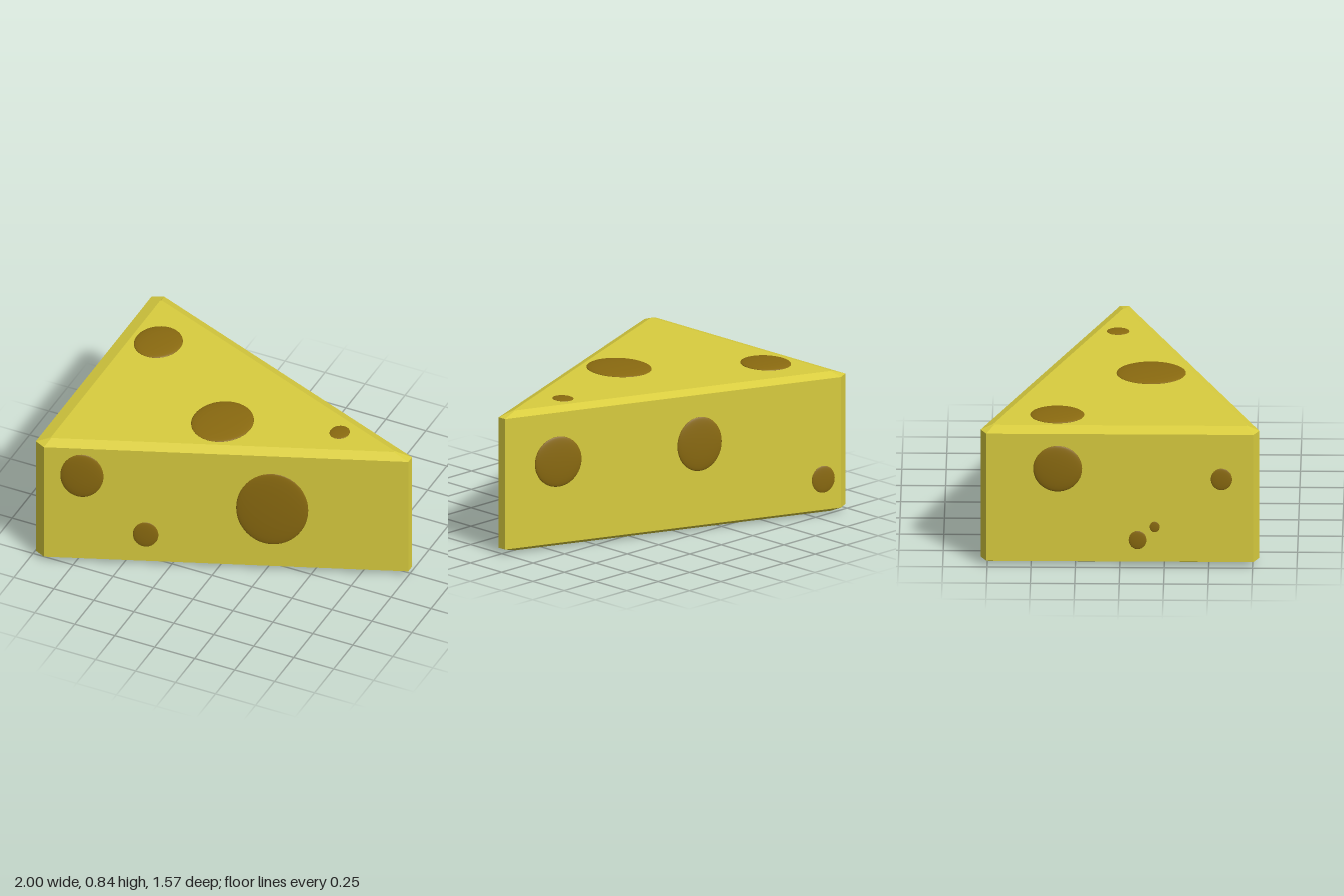
import * as THREE from 'three';

// Horizontal outline of the wedge, one [x, z] half mirrored across z = 0
const ring = (half, y) => [
  ...half.map(([x, z]) => [x, y, z]),
  ...half.map(([x, z]) => [x, y, -z]).reverse(),
];

// Flat-faced solid lofted through stacked rings, capped at both ends
function loft(rings) {
  const n = rings[0].length, index = [];
  for (let r = 0; r < rings.length - 1; r++) {
    for (let i = 0; i < n; i++) {
      const a = r * n + i, b = r * n + (i + 1) % n;
      index.push(a, b, b + n, a, b + n, a + n);
    }
  }
  const top = (rings.length - 1) * n;
  for (let i = 1; i < n - 1; i++) {
    index.push(0, i + 1, i);
    index.push(top, top + i, top + i + 1);
  }
  const g = new THREE.BufferGeometry();
  g.setAttribute('position', new THREE.Float32BufferAttribute(rings.flat(2), 3));
  g.setIndex(index);
  const flat = g.toNonIndexed();
  flat.computeVertexNormals();
  return flat;
}

export function createModel() {
  const group = new THREE.Group();
  const cheese = new THREE.MeshStandardMaterial({ color: 0xd9cd3f, flatShading: true });
  const dark = new THREE.MeshStandardMaterial({ color: 0x8a6a10 });

  // Wedge body with bevelled top and bottom edges
  const outer = [[-0.98, 0.755], [-0.915, 0.787], [1, 0.025]];
  const inner = [[-0.905, 0.712], [-0.9, 0.72], [0.9, 0.005]];
  const body = new THREE.Mesh(loft([
    ring(inner, 0), ring(outer, 0.03), ring(outer, 0.8), ring(inner, 0.825),
  ]), cheese);
  body.name = 'cheeseWedge';
  group.add(body);

  // Holes: shallow dark domes lying on each face
  const dome = new THREE.SphereGeometry(1, 40, 24);
  const addHole = (name, x, y, z, ru, rv, yaw, pitch = 0) => {
    const hole = new THREE.Mesh(dome, dark);
    hole.name = name;
    hole.position.set(x, y, z);
    hole.scale.set(ru, rv, Math.min(0.016, ru * 0.12));
    hole.rotation.set(pitch, yaw, 0);
    group.add(hole);
  };

  // Top holes: x, z, radius in x, radius in z
  [[-0.745, -0.355, 0.135, 0.152], [-0.095, 0.165, 0.173, 0.195], [0.545, -0.03, 0.056, 0.063]]
    .forEach(([x, z, ru, rv]) => addHole('topHole', x, 0.825, z, ru, rv, 0, -Math.PI / 2));

  // Slanted side holes: x, y, half width along the face, half height
  const slope = (0.787 - 0.025) / 1.915;
  const yaw = Math.atan(slope);
  const sideZ = (x) => 0.025 + (1 - x) * slope;
  [[0.285, 0.43, 0.204, 0.247], [-0.715, 0.61, 0.122, 0.148], [-0.38, 0.215, 0.072, 0.085]]
    .forEach(([x, y, ru, rv]) => addHole('frontHole', x, y, sideZ(x), ru, rv, yaw));
  [[0.697, 0.51, 0.143, 0.148], [-0.109, 0.51, 0.136, 0.159], [-0.814, 0.21, 0.07, 0.079]]
    .forEach(([x, y, ru, rv]) => addHole('backHole', x, y, -sideZ(x), ru, rv, Math.PI - yaw));

  // Rind holes on the wide end: z, y, half width, half height
  [[-0.35, 0.59, 0.138, 0.138], [0.1, 0.16, 0.05, 0.055], [0.196, 0.24, 0.028, 0.032], [0.572, 0.53, 0.06, 0.065]]
    .forEach(([z, y, ru, rv]) => addHole('rindHole', -0.98, y, z, ru, rv, -Math.PI / 2));

  return group;
}
